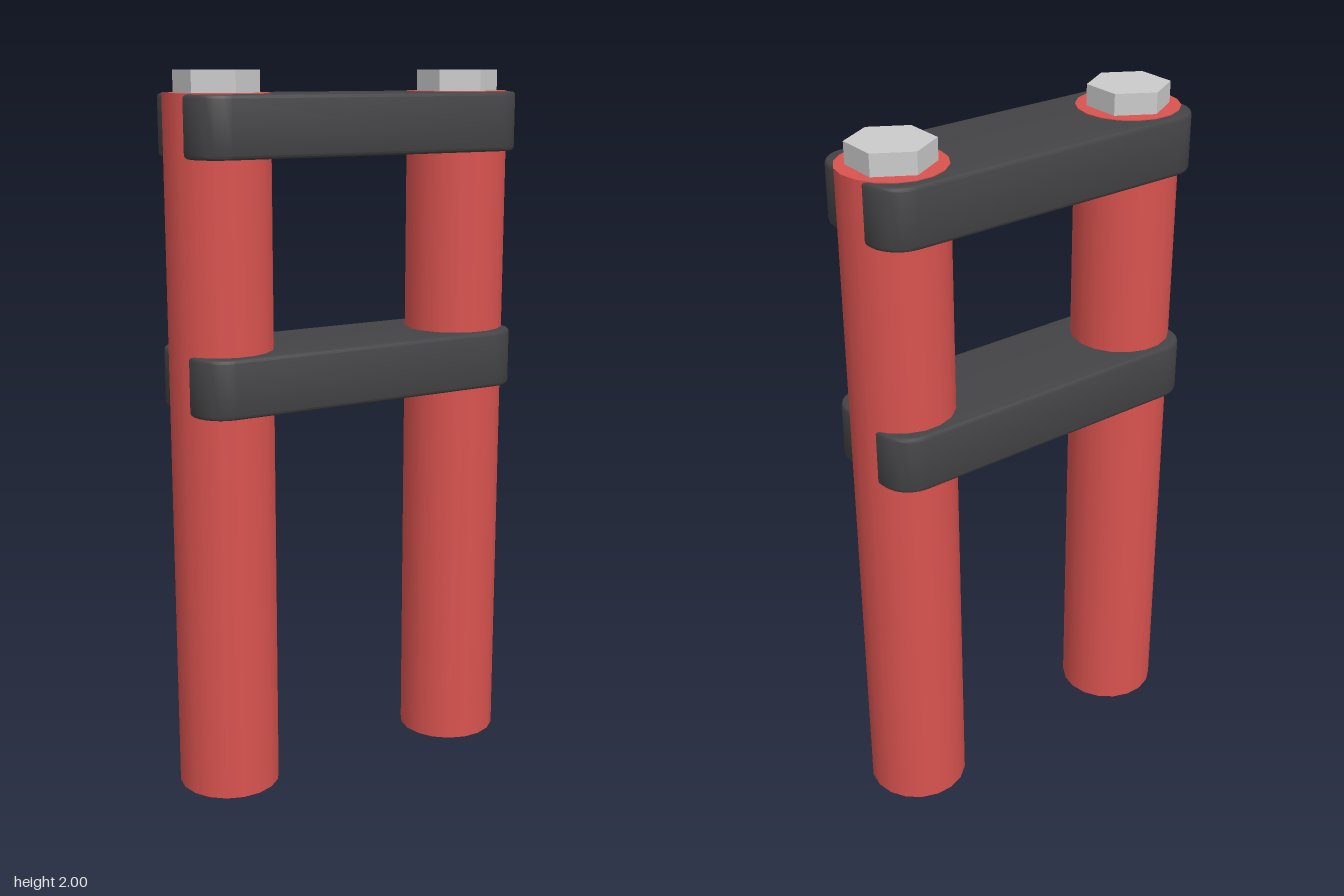
import * as THREE from 'three';
import { toCreasedNormals } from 'three/addons/utils/BufferGeometryUtils.js';

const red = new THREE.MeshStandardMaterial({ color: 0xd9534f });
const dark = new THREE.MeshStandardMaterial({ color: 0x444446 });
const grey = new THREE.MeshStandardMaterial({ color: 0xcccccc, flatShading: true });

const TUBE_X = 0.38, TUBE_R = 0.143, TUBE_TOP = 1.942;

// Flat bar with rounded corners and a small bevel, lying in the xz plane from y = 0 up
function barGeometry(halfX, halfZ, height, radius, bevel) {
  const x = halfX - bevel, z = halfZ - bevel, r = radius - bevel;
  const s = new THREE.Shape();
  s.absarc(x - r, z - r, r, 0, Math.PI / 2);
  s.absarc(-x + r, z - r, r, Math.PI / 2, Math.PI);
  s.absarc(-x + r, -z + r, r, Math.PI, Math.PI * 1.5);
  s.absarc(x - r, -z + r, r, Math.PI * 1.5, Math.PI * 2);
  s.closePath();
  const g = new THREE.ExtrudeGeometry(s, {
    depth: height - 2 * bevel, curveSegments: 3,
    bevelEnabled: true, bevelSize: bevel, bevelThickness: bevel, bevelSegments: 3,
  });
  g.translate(0, 0, bevel);
  g.rotateX(-Math.PI / 2);
  return toCreasedNormals(g, 0.6);
}

export function createModel() {
  const model = new THREE.Group();
  const add = (name, geometry, material, x, y) => {
    const mesh = new THREE.Mesh(geometry, material);
    mesh.name = name;
    mesh.position.set(x, y, 0);
    model.add(mesh);
  };

  // Two upright tubes, each topped by a hexagonal bolt head
  const tube = new THREE.CylinderGeometry(TUBE_R, TUBE_R, TUBE_TOP, 18, 1, false, Math.PI / 2);
  const bolt = new THREE.CylinderGeometry(0.114, 0.114, 2 - TUBE_TOP, 6);
  for (const [side, sign] of [['left', 1], ['right', -1]]) {
    add(side + 'Tube', tube, red, sign * TUBE_X, TUBE_TOP / 2);
    add(side + 'BoltHead', bolt, grey, sign * TUBE_X, (2 + TUBE_TOP) / 2);
  }

  // Two clamp bars joining the tubes
  const bar = barGeometry(0.506, 0.168, 0.163, 0.088, 0.01);
  add('upperClampBar', bar, dark, 0, 1.777);
  add('lowerClampBar', bar, dark, 0, 1.102);

  return model;
}
